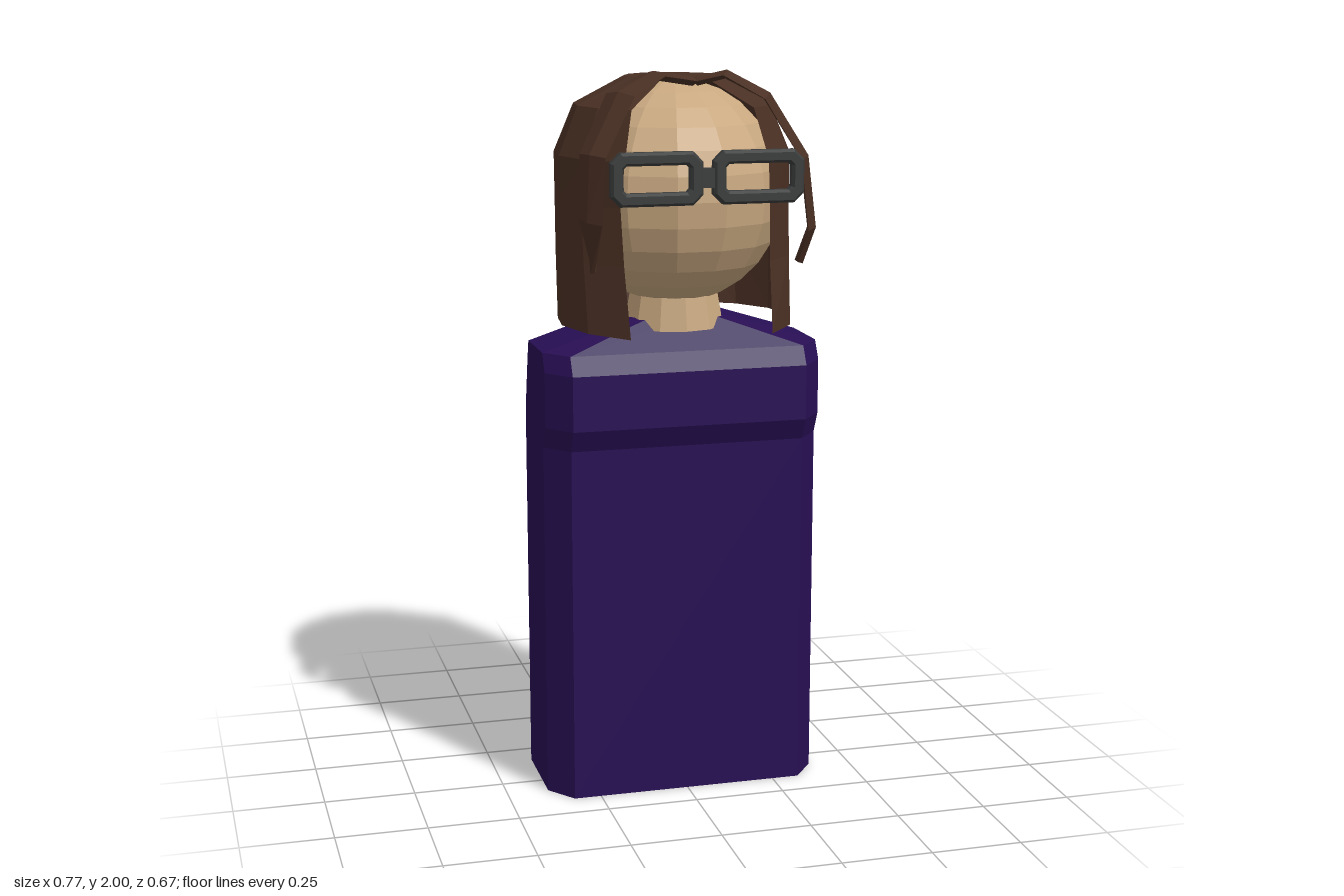
import * as THREE from 'three';

const flat = (name, color, side = THREE.FrontSide) => {
  const m = new THREE.MeshStandardMaterial({ color, flatShading: true, side });
  m.name = name;
  return m;
};

// Skin a stack of equal-length rings (counter-clockwise from above, bottom to top)
function loft(rings, { open = false, bottom = true, top = true } = {}) {
  const pos = [], n = rings[0].length;
  const tri = (a, b, c) => pos.push(...a, ...b, ...c);
  for (let i = 0; i < rings.length - 1; i++) {
    for (let j = 0; j < (open ? n - 1 : n); j++) {
      const k = (j + 1) % n, A = rings[i], B = rings[i + 1];
      tri(A[j], A[k], B[k]);
      tri(A[j], B[k], B[j]);
    }
  }
  const cap = (ring, up) => {
    const c = [0, 1, 2].map(d => ring.reduce((s, p) => s + p[d], 0) / n);
    ring.forEach((p, j) => {
      const q = ring[(j + 1) % n];
      up ? tri(c, p, q) : tri(c, q, p);
    });
  };
  if (bottom) cap(rings[0], false);
  if (top) cap(rings[rings.length - 1], true);
  const g = new THREE.BufferGeometry();
  g.setAttribute('position', new THREE.Float32BufferAttribute(pos, 3));
  g.computeVertexNormals();
  return g;
}

// Rectangle with cut corners
function cutRect(Type, w, h, c) {
  const x = w / 2, y = h / 2;
  return new Type([
    [x - c, -y], [x, -y + c], [x, y - c], [x - c, y],
    [c - x, y], [-x, y - c], [-x, c - y], [c - x, -y],
  ].map(p => new THREE.Vector2(...p)));
}

// Tapering flat hair lock: points are [x, y, z, halfWidth]
function lock(points, wide) {
  const curve = points.map(p => new THREE.Vector3(p[0], p[1], p[2]));
  const rings = points.map((p, i) => {
    const t = curve[Math.min(i + 1, curve.length - 1)].clone().sub(curve[Math.max(i - 1, 0)]).normalize();
    const w = wide.clone().addScaledVector(t, -wide.dot(t)).normalize();
    const n = t.clone().cross(w).multiplyScalar(0.012);
    w.multiplyScalar(p[3]);
    return [w, n, w.clone().negate(), n.clone().negate()].map(o => o.add(curve[i]).toArray());
  });
  return loft(rings);
}

export function createModel() {
  const root = new THREE.Group();
  root.name = 'bust';
  const robe = flat('deep purple', 0x280f54);
  const skin = flat('skin', 0xc8a880);
  const brown = flat('brown hair', 0x4a3024, THREE.DoubleSide);
  const dark = flat('dark frame', 0x3a3c3b);
  const add = (name, geo, mat, parent = root) => {
    const m = new THREE.Mesh(geo, mat);
    m.name = name;
    parent.add(m);
    return m;
  };

  // Body slab: y, half width, front z, back z, corner cut
  const bodyRings = [
    [0, 0.385, 0.155, -0.225, 0.06],
    [0.99, 0.385, 0.155, -0.225, 0.06],
    [1.05, 0.385, 0.185, -0.225, 0.06],
    [1.2, 0.385, 0.185, -0.188, 0.06],
    [1.25, 0.385, 0.155, -0.172, 0.06],
    [1.34, 0.085, 0.07, -0.16, 0.02],
  ].map(([y, w, f, b, c]) => [
    [c - w, y, f], [w - c, y, f], [w, y, f - c * 1.3], [w, y, b + c],
    [w - c, y, b], [c - w, y, b], [-w, y, b + c], [-w, y, f - c * 1.3],
  ]);
  add('body', loft(bodyRings), robe);

  // Neck and head
  add('neck', new THREE.CylinderGeometry(0.1, 0.14, 0.22, 12), skin).position.y = 1.41;
  const head = add('head', new THREE.SphereGeometry(0.3, 14, 14), skin);
  head.scale.y = 1.01;
  head.position.set(0, 1.664, 0);

  // Bobbed hair: y, side radius, back radius, front radius, opening half angle
  const hairRings = [
    [1.315, 0.32, 0.275, 0.38, 37],
    [1.5, 0.322, 0.31, 0.325, 38],
    [1.65, 0.322, 0.33, 0.305, 39],
    [1.77, 0.322, 0.337, 0.315, 37],
    [1.9, 0.268, 0.28, 0.265, 38],
    [1.975, 0.13, 0.135, 0.13, 26],
  ].map(([y, rx, rb, rf, deg]) => {
    const a0 = deg * Math.PI / 180, n = 12;
    return Array.from({ length: n + 1 }, (_, i) => {
      const a = a0 + (2 * Math.PI - 2 * a0) * i / n, c = Math.cos(a);
      return [rx * Math.sin(a) - 0.003, y, c * (c > 0 ? rf : rb)];
    });
  });
  add('hair', loft(hairRings, { open: true, bottom: false }), brown);

  // Loose locks framing the face
  add('rightLock', lock([
    [0.02, 1.965, 0.12, 0.03], [-0.1, 1.985, 0.17, 0.05], [-0.2, 1.94, 0.22, 0.055],
    [-0.285, 1.79, 0.265, 0.05], [-0.29, 1.62, 0.255, 0.045], [-0.27, 1.48, 0.2, 0.004],
  ], new THREE.Vector3(0.5, 0, 0.87)), brown);
  add('leftLock', lock([
    [0.03, 1.965, 0.12, 0.03], [0.1, 1.985, 0.16, 0.045], [0.2, 1.93, 0.2, 0.045],
    [0.3, 1.77, 0.215, 0.04], [0.33, 1.58, 0.195, 0.035], [0.31, 1.48, 0.15, 0.004],
  ], new THREE.Vector3(-0.5, 0, 0.87)), brown);

  // Spectacles
  const glasses = new THREE.Group();
  glasses.name = 'glasses';
  glasses.position.set(0.006, 1.732, 0.297);
  root.add(glasses);
  for (const s of [-1, 1]) {
    const rim = cutRect(THREE.Shape, 0.23, 0.124, 0.022);
    rim.holes.push(cutRect(THREE.Path, 0.19, 0.084, 0.012));
    const geo = new THREE.ExtrudeGeometry(rim, {
      depth: 0.02, bevelEnabled: true, bevelSize: 0.007, bevelThickness: 0.008, bevelSegments: 1,
    });
    add(s < 0 ? 'rightRim' : 'leftRim', geo, dark, glasses).position.set(s * 0.136, 0, 0.008);
  }
  add('bridge', new THREE.BoxGeometry(0.06, 0.05, 0.026), dark, glasses).position.z = 0.018;

  return root;
}
